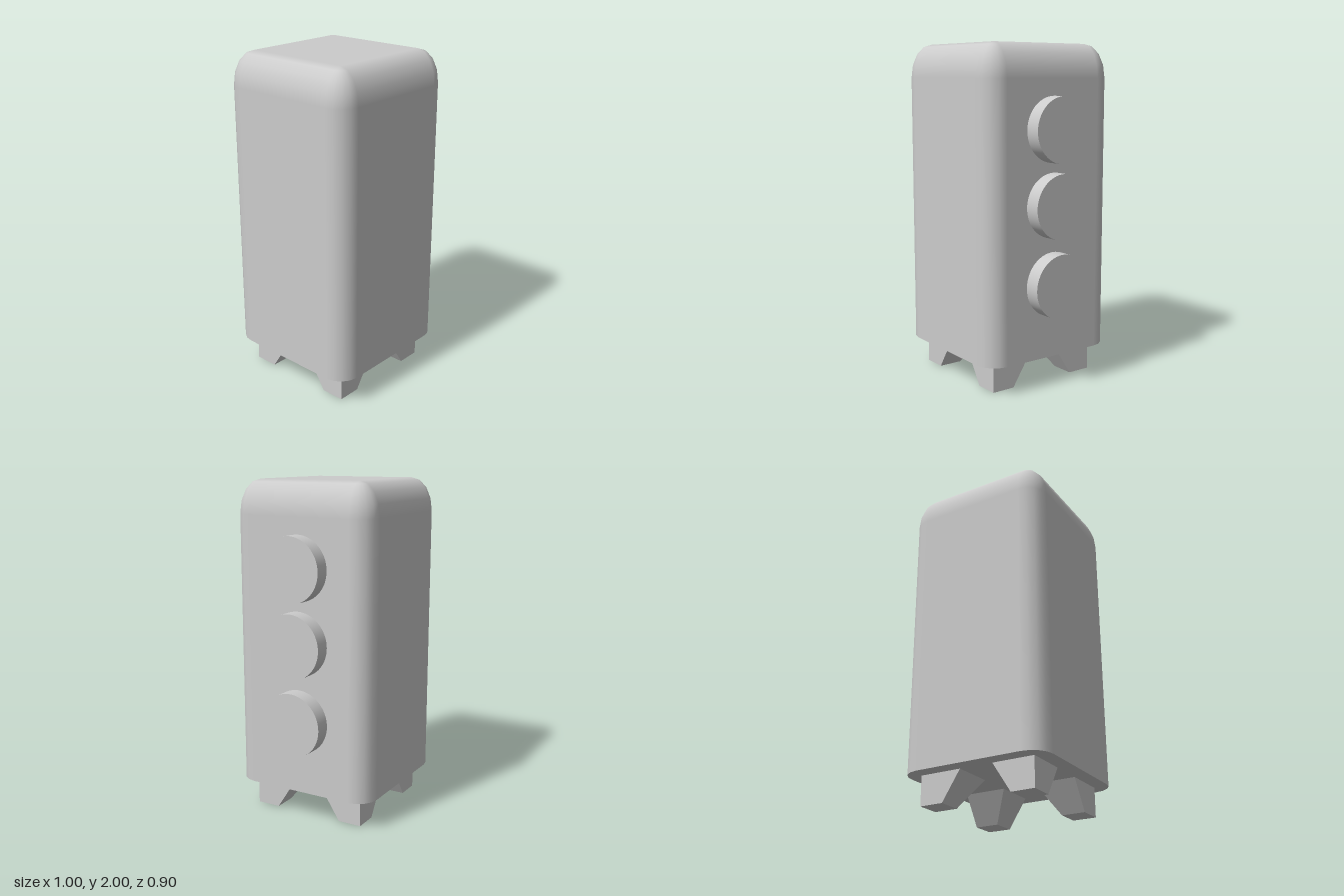
import * as THREE from 'three';

const CX = -0.0475, HALF = 0.4525;      // body centre in x, half width in x and z
const BASE = 0.175, TOP = 2;            // body bottom and top
const R = 0.125, RY = 0.2, SEG = 4;     // corner radius, height of the top rounding, steps

// Rounded-rectangle rings stacked upward, the last ones rolling over into the flat top
function bodyGeometry() {
  const pos = [], nor = [], idx = [];
  const count = 4 * (SEG + 1);

  const addRing = (y, phi, down) => {
    const inner = HALF - R, r = R * Math.cos(phi);
    for (let c = 0; c < 4; c++) {
      const sx = c === 0 || c === 3 ? 1 : -1, sz = c < 2 ? 1 : -1;
      for (let s = 0; s <= SEG; s++) {
        const t = (c + s / SEG) * Math.PI / 2;
        pos.push(sx * inner + r * Math.cos(t), y, sz * inner + r * Math.sin(t));
        const n = down ? new THREE.Vector3(0, -1, 0) : new THREE.Vector3(
          Math.cos(phi) * Math.cos(t), Math.sin(phi) * R / RY, Math.cos(phi) * Math.sin(t)).normalize();
        nor.push(n.x, n.y, n.z);
      }
    }
  };

  addRing(BASE, 0);
  for (let i = 0; i <= SEG; i++) {
    const phi = i / SEG * Math.PI / 2;
    addRing(TOP - RY + RY * Math.sin(phi), phi);
  }
  const rings = SEG + 2;
  addRing(BASE, 0, true);

  for (let i = 0; i < rings - 1; i++) {
    for (let j = 0; j < count; j++) {
      const k = (j + 1) % count;
      const a = i * count + j, b = i * count + k, c = a + count, d = b + count;
      idx.push(a, c, b, b, c, d);
    }
  }
  // Flat top and flat underside
  const top = (rings - 1) * count, bottom = rings * count;
  for (let j = 1; j < count - 1; j++) {
    idx.push(top, top + j + 1, top + j);
    idx.push(bottom, bottom + j, bottom + j + 1);
  }

  const g = new THREE.BufferGeometry();
  g.setAttribute('position', new THREE.Float32BufferAttribute(pos, 3));
  g.setAttribute('normal', new THREE.Float32BufferAttribute(nor, 3));
  g.setIndex(idx);
  return g;
}

// Foot with upright outer faces and inner faces that slope in toward the bottom
function footGeometry(sx, sz) {
  const outer = 0.36, innerTop = 0.103, innerBottom = 0.216;
  const g = new THREE.BoxGeometry(1, BASE, 1);
  const p = g.attributes.position;
  for (let i = 0; i < p.count; i++) {
    const y = p.getY(i) + BASE / 2;
    const inner = y > 0.01 ? innerTop : innerBottom;
    const x = p.getX(i) * sx > 0 ? outer : inner;
    const z = p.getZ(i) * sz > 0 ? outer : inner;
    p.setXYZ(i, sx * x, y, sz * z);
  }
  g.computeVertexNormals();
  return g;
}

export function createModel() {
  const model = new THREE.Group();
  model.name = 'signalBox';
  const grey = new THREE.MeshStandardMaterial({ color: 0xcccccc });

  const add = (name, geometry, x, y = 0) => {
    const mesh = new THREE.Mesh(geometry, grey);
    mesh.name = name;
    mesh.position.set(x, y, 0);
    model.add(mesh);
    return mesh;
  };

  add('body', bodyGeometry(), CX);

  // Three round lamps on the left side
  const lamp = new THREE.CylinderGeometry(0.19, 0.19, 0.12, 64).rotateZ(-Math.PI / 2);
  ['topLamp', 'middleLamp', 'bottomLamp'].forEach((name, i) => {
    add(name, lamp, 0.44, [1.512, 1.076, 0.613][i]);
  });

  // Four feet
  for (const sx of [1, -1]) {
    for (const sz of [1, -1]) {
      add((sz > 0 ? 'front' : 'back') + (sx > 0 ? 'Left' : 'Right') + 'Foot', footGeometry(sx, sz), CX);
    }
  }
  return model;
}
